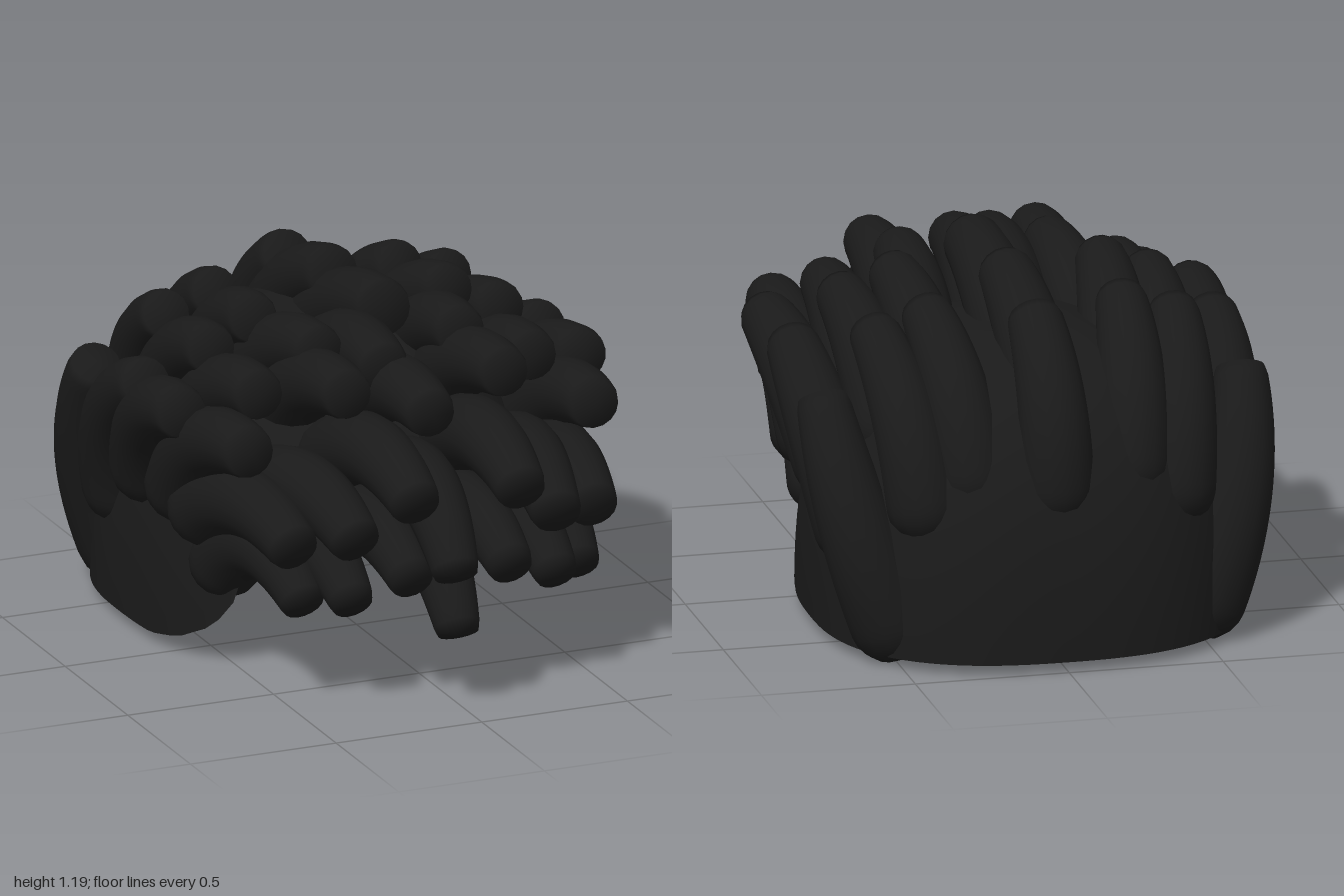
import * as THREE from 'three';
import { mergeVertices } from 'three/addons/utils/BufferGeometryUtils.js';

const material = new THREE.MeshStandardMaterial({ color: 0x1a1a1a, side: THREE.DoubleSide });

// Lock of hair: rounded thick root, arched path, blunt narrower tip
function lock(root, tip, lift, r0 = 0.122, r1 = 0.077, bulge = 0) {
  const a = new THREE.Vector3(...root), b = new THREE.Vector3(...tip);
  const arch = new THREE.Vector3(0, b.z - a.z, a.y - b.y).normalize();
  const mid = a.clone().add(b).multiplyScalar(0.5).addScaledVector(arch, lift * 2);
  mid.x += Math.sign(a.x) * bulge * 2;
  const curve = new THREE.QuadraticBezierCurve3(a, mid, b);
  const n = 28, sides = 16, length = curve.getLength();
  const geo = new THREE.TubeGeometry(curve, n, 1, sides);
  const pos = geo.attributes.position, nor = geo.attributes.normal;
  const dir = new THREE.Vector3();
  for (let i = 0; i <= n; i++) {
    const t = Math.min(i, n - 0.75) / n;
    const c = curve.getPointAt(t);
    const rootRound = 1 - Math.min(1, (t * length) / r0);
    let r = THREE.MathUtils.lerp(r0, r1, t * t) * Math.sqrt(1 - rootRound * rootRound);
    if (i === n) r = 0;
    if (i === n - 1) r *= 0.93;
    for (let j = 0; j <= sides; j++) {
      const k = i * (sides + 1) + j;
      dir.fromBufferAttribute(nor, k).multiplyScalar(r).add(c);
      pos.setXYZ(k, dir.x, dir.y, dir.z);
    }
  }
  geo.deleteAttribute('normal');
  geo.deleteAttribute('uv');
  const smooth = mergeVertices(geo, 1e-4);
  smooth.computeVertexNormals();
  return new THREE.Mesh(smooth, material);
}

// Open shell: squarish dome with a raised opening over the face
function capGeometry() {
  const cols = 96, rows = 24, top = 0.97, p = 2.5;
  const edge = (z, front) => {
    if (!front) return 0.02;
    const pts = [[-0.1, 0.02], [0.05, 0.05], [0.17, 0.11], [0.25, 0.18], [0.28, 0.26], [0.3, 0.38], [0.38, 0.5], [1, 0.54]];
    for (let i = 1; i < pts.length; i++) {
      const [z0, y0] = pts[i - 1], [z1, y1] = pts[i];
      if (z <= z1) return z <= z0 ? y0 : THREE.MathUtils.lerp(y0, y1, (z - z0) / (z1 - z0));
    }
    return 0.54;
  };
  const v = [], idx = [];
  for (let i = 0; i <= rows; i++) {
    for (let j = 0; j < cols; j++) {
      const th = (j / cols) * Math.PI * 2, s = Math.sin(th), c = -Math.cos(th);
      const b = c > 0 ? 0.86 : 0.65;
      const k = Math.pow(Math.abs(s / 0.675) ** p + Math.abs(c / b) ** p, -1 / p);
      const e = edge(-0.35 + c * k, c > 0);
      const y = e + (top - e) * Math.sin((i / rows) * Math.PI / 2);
      const f = Math.pow(Math.max(0, 1 - (y / top) ** p), 1 / p);
      v.push(s * k * f, y, -0.35 + c * k * f);
      if (i < rows) {
        const q = i * cols + j, w = i * cols + (j + 1) % cols;
        idx.push(q, q + cols, w, w, q + cols, w + cols);
      }
    }
  }
  const geo = new THREE.BufferGeometry();
  geo.setAttribute('position', new THREE.Float32BufferAttribute(v, 3));
  geo.setIndex(idx);
  const smooth = mergeVertices(geo, 1e-5);
  smooth.computeVertexNormals();
  return smooth;
}

// [root, tip, lift, root radius, tip radius, sideways bulge]
const centreLocks = [
  [[0.0, 0.44, -0.83], [0.01, 1.05, -0.55], 0.12, 0.12, 0.085],
  [[0.0, 0.7, -0.72], [0.02, 1.09, -0.2], 0.08, 0.12, 0.085],
  [[0.03, 0.83, -0.42], [0.04, 1.08, 0.16], 0.06, 0.12, 0.09],
  [[-0.05, 0.82, -0.15], [-0.09, 0.99, 0.46], 0.075],
  [[-0.02, 0.72, 0.05], [-0.04, 0.91, 0.72], 0.095],
  [[-0.02, 0.58, 0.3], [-0.07, 0.45, 0.975], 0.15, 0.12, 0.07],
  [[0.02, 0.36, 0.18], [-0.02, 0.215, 0.875], 0.18, 0.12, 0.066],
];
const pairedLocks = [
  // back row
  [[0.25, 0.47, -0.79], [0.32, 1.03, -0.36], 0.11],
  [[0.4, 0.38, -0.77], [0.49, 0.98, -0.36], 0.12],
  [[0.46, -0.01, -0.71], [0.68, 0.82, -0.48], 0.085, 0.135, 0.08, 0.045],
  // crown row
  [[0.28, 0.66, -0.5], [0.34, 1.05, -0.01], 0.09],
  [[0.45, 0.57, -0.5], [0.5, 0.98, 0.03], 0.1],
  [[0.55, 0.25, -0.53], [0.68, 0.87, -0.07], 0.13, 0.13, 0.08, 0.03],
  // middle row
  [[0.28, 0.72, -0.25], [0.24, 1.02, 0.3], 0.085],
  [[0.47, 0.6, -0.2], [0.47, 0.92, 0.35], 0.1],
  [[0.56, 0.4, -0.31], [0.69, 0.86, 0.24], 0.13, 0.13, 0.08, 0.025],
  // forward row
  [[0.26, 0.72, 0.0], [0.27, 0.97, 0.59], 0.08],
  [[0.57, 0.42, -0.08], [0.59, 0.81, 0.56], 0.13, 0.13, 0.08, 0.015],
  // fringe
  [[0.2, 0.6, 0.2], [0.18, 0.685, 0.93], 0.135, 0.125],
  [[0.43, 0.5, 0.12], [0.34, 0.55, 0.83], 0.13, 0.125],
  [[0.58, 0.42, 0.03], [0.51, 0.52, 0.73], 0.125, 0.125],
  // lower fringe
  [[0.17, 0.28, 0.08], [0.17, 0.41, 0.87], 0.17, 0.12, 0.07],
  [[0.35, 0.27, 0.08], [0.35, 0.34, 0.81], 0.17, 0.12, 0.066],
  [[0.52, 0.23, 0.08], [0.47, 0.32, 0.7], 0.17, 0.12, 0.066],
];

export function createModel() {
  const model = new THREE.Group();
  model.name = 'hair';

  const add = (mesh, name) => {
    mesh.name = name;
    model.add(mesh);
  };
  add(new THREE.Mesh(capGeometry(), material), 'cap');
  centreLocks.forEach((l) => add(lock(...l), 'centreLock'));

  // Mirrored locks on both sides
  for (const side of [1, -1]) {
    for (const [root, tip, ...rest] of pairedLocks) {
      const [a, b] = [root, tip].map(([x, y, z]) => [x * side, y, z]);
      add(lock(a, b, ...rest), side > 0 ? 'leftLock' : 'rightLock');
    }
  }
  return model;
}
